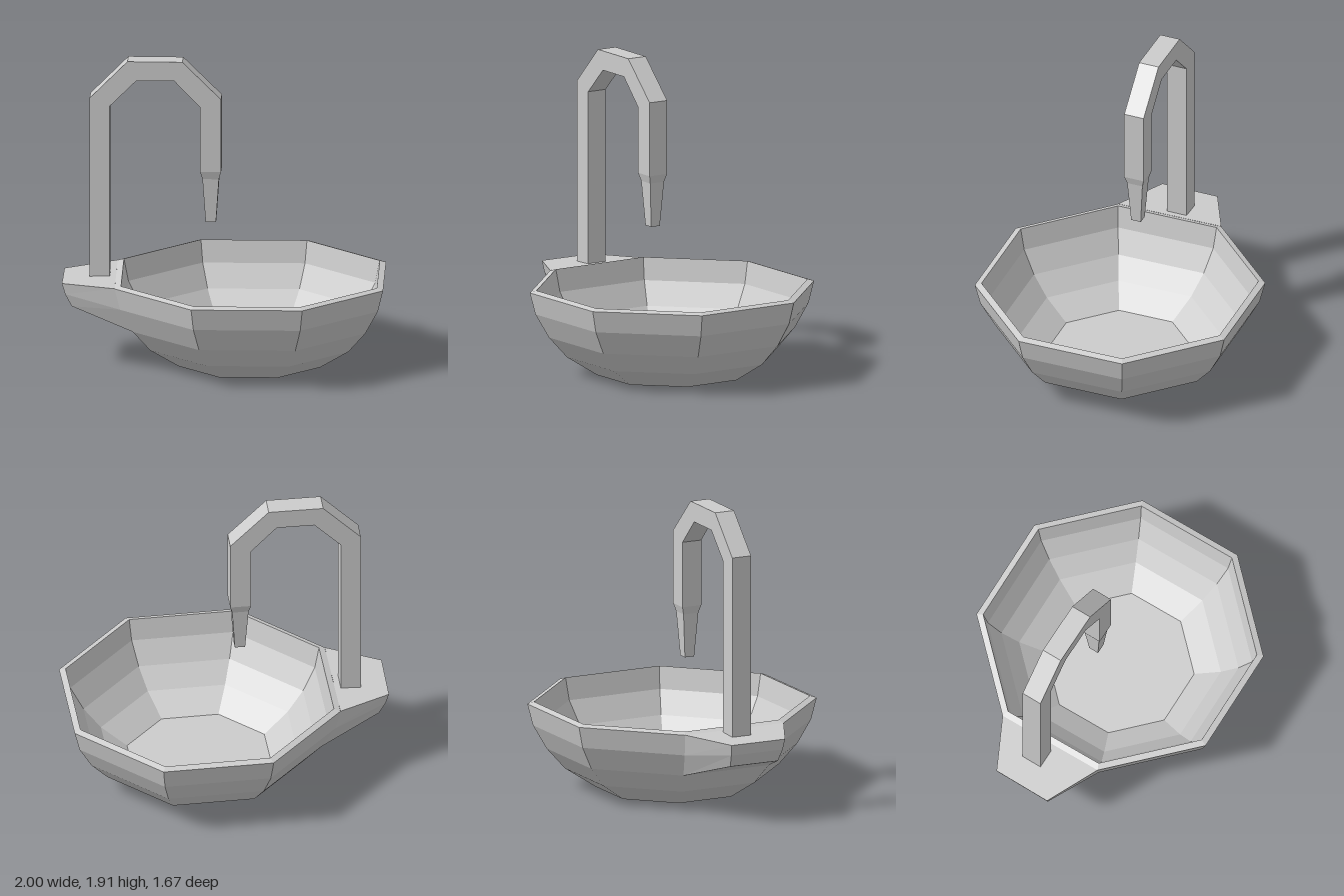
import * as THREE from 'three';
import { mergeVertices } from 'three/addons/utils/BufferGeometryUtils.js';

const CENTER_X = 0.16; // bowl axis
const TWIST = 0.017; // slight turn of the octagon

export function createModel() {
  const group = new THREE.Group();
  const stone = new THREE.MeshStandardMaterial({ color: 0xcccccc, flatShading: true });
  stone.name = 'grey';

  const add = (name, geometry) => {
    const mesh = new THREE.Mesh(geometry, stone);
    mesh.name = name;
    group.add(mesh);
    return mesh;
  };

  // Octagonal bowl: outside from foot to rim, then back down the inside
  const profile = [
    [0, 0], [0.475, 0], [0.665, 0.12], [0.78, 0.25], [0.865, 0.4], [0.9, 0.537],
    [0.858, 0.55], [0.828, 0.41], [0.743, 0.265], [0.632, 0.145], [0.465, 0.035], [0, 0.035],
  ].map(([r, y]) => new THREE.Vector2(r, y));
  const bowl = add('bowl', new THREE.LatheGeometry(profile, 8, Math.PI / 8 + TWIST));
  bowl.position.x = CENTER_X;

  // Tap ledge: the bowl's right-hand facet drawn out to a narrower end
  const corner = (r, y, side) => {
    const phi = -Math.PI / 2 + side * Math.PI / 8 + TWIST;
    return [CENTER_X + r * Math.sin(phi), y, r * Math.cos(phi)];
  };
  const rings = [[0.9, 0.538], [0.865, 0.4], [0.78, 0.25]];
  const ends = [[-1, 0.525, 0.185], [-0.98, 0.455, 0.178], [-0.94, 0.375, 0.165]];
  const around = (rows, point) => [
    ...rows.map((row) => point(row, 1)),
    ...[...rows].reverse().map((row) => point(row, -1)),
  ];
  const join = around(rings, ([r, y], side) => corner(r, y, side));
  const end = around(ends, ([x, y, z], side) => [x, y, 0.015 + side * z]);
  const positions = [];
  const quad = (a, b, c, d) => positions.push(...a, ...b, ...c, ...a, ...c, ...d);
  for (let i = 0; i < 6; i++) {
    const j = (i + 1) % 6;
    if (i !== 5) quad(join[i], end[i], end[j], join[j]);
    else quad(join[5], end[5], end[0], join[0]);
  }
  for (let i = 0; i < 2; i++) quad(end[i], end[5 - i], end[4 - i], end[i + 1]);
  const ledge = new THREE.BufferGeometry();
  ledge.setAttribute('position', new THREE.Float32BufferAttribute(positions, 3));
  ledge.computeVertexNormals();
  add('tapLedge', mergeVertices(ledge));

  // Square-section arched tap
  const outline = [
    [-0.835, 0.5], [-0.71, 0.5], [-0.71, 1.625], [-0.545, 1.79], [-0.31, 1.79], [-0.15, 1.625],
    [-0.15, 1.21], [-0.02, 1.21], [-0.02, 1.675], [-0.26, 1.912], [-0.6, 1.912], [-0.835, 1.675],
  ].map(([x, y]) => new THREE.Vector2(x, y));
  const arch = new THREE.ExtrudeGeometry(new THREE.Shape(outline), { depth: 0.13, bevelEnabled: false });
  add('tapArch', arch).position.z = -0.083;

  // Tapered square nozzle in two steps
  const taper = (name, topHalf, bottomHalf, topY, bottomY) => {
    const geometry = new THREE.CylinderGeometry(
      topHalf * Math.SQRT2, bottomHalf * Math.SQRT2, topY - bottomY, 4);
    geometry.rotateY(Math.PI / 4);
    add(name, geometry).position.set(-0.085, (topY + bottomY) / 2, -0.018);
  };
  taper('nozzleCollar', 0.065, 0.051, 1.21, 1.16);
  taper('nozzleTip', 0.051, 0.032, 1.16, 0.88);

  return group;
}
